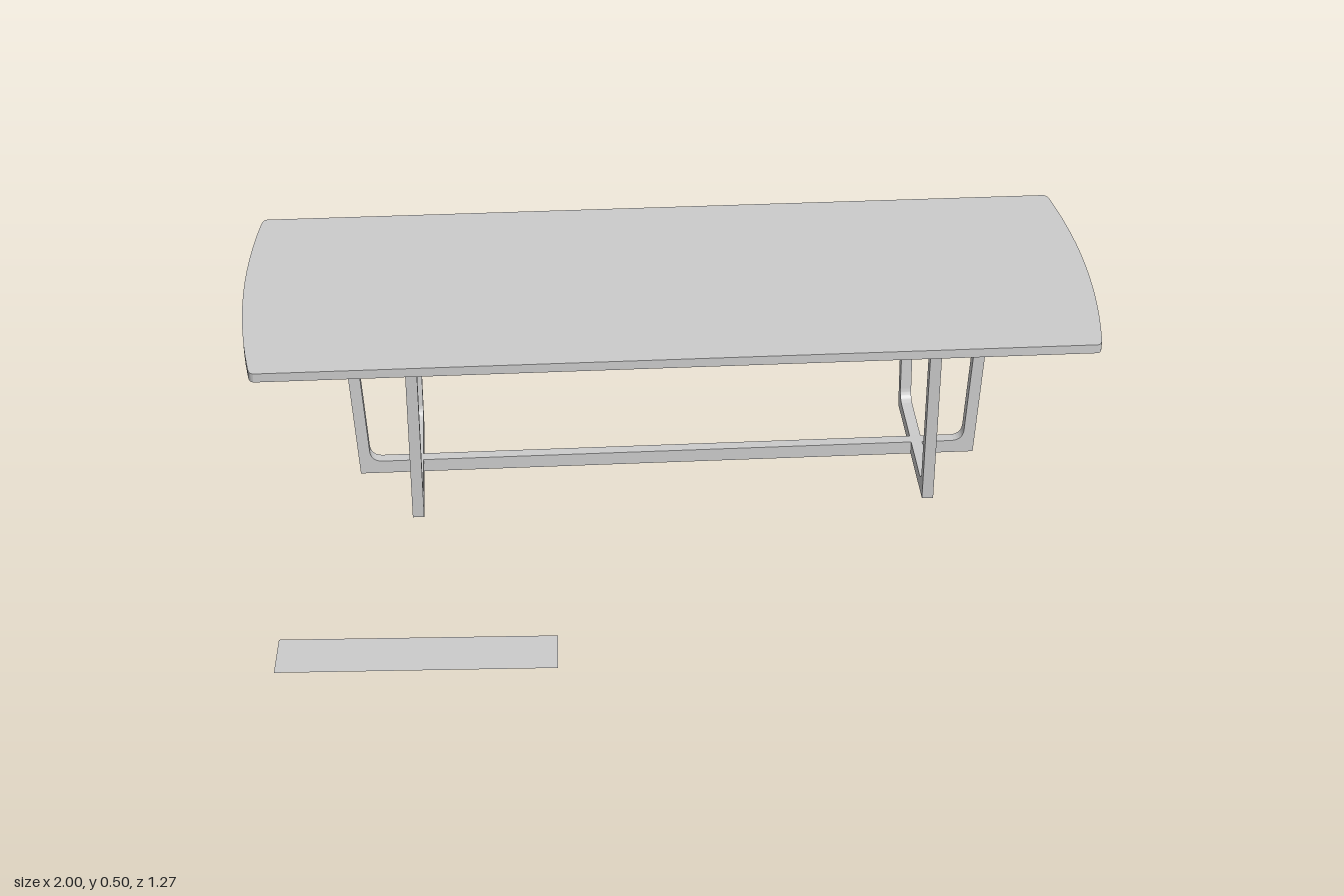
import * as THREE from 'three';
import { toCreasedNormals } from 'three/addons/utils/BufferGeometryUtils.js';

const CENTER_Z = -0.263;   // the table stands off-centre, behind the floor panel
const TOP_Y = 0.478;       // underside of the tabletop
const BAR = 0.033;         // height of the floor bars
const grey = new THREE.MeshStandardMaterial({ color: 0xcccccc });

function extrude(shape, depth) {
  const geometry = new THREE.ExtrudeGeometry(shape, { depth, bevelEnabled: false, curveSegments: 12 });
  return toCreasedNormals(geometry, 0.5);
}

function addMesh(group, name, geometry, material = grey) {
  const mesh = new THREE.Mesh(geometry, material);
  mesh.name = name;
  group.add(mesh);
  return mesh;
}

// U-shaped frame: floor bar with two outward-leaning legs and filleted inner corners
function frameGeometry(bottom, top, leg, thickness) {
  const fillet = 0.03;
  const inBottom = bottom - leg;
  const inTop = top - leg;
  const inX = (y) => inBottom + (inTop - inBottom) * y / TOP_Y;
  const s = new THREE.Shape();
  s.moveTo(-bottom, 0);
  s.lineTo(bottom, 0);
  s.lineTo(top, TOP_Y);
  s.lineTo(inTop, TOP_Y);
  s.lineTo(inX(BAR + fillet), BAR + fillet);
  s.quadraticCurveTo(inX(BAR), BAR, inX(BAR) - fillet, BAR);
  s.lineTo(-inX(BAR) + fillet, BAR);
  s.quadraticCurveTo(-inX(BAR), BAR, -inX(BAR + fillet), BAR + fillet);
  s.lineTo(-inTop, TOP_Y);
  s.lineTo(-top, TOP_Y);
  s.closePath();
  return extrude(s, thickness).translate(0, 0, -thickness / 2);
}

// Slab with straight long sides, bowed ends and small rounded corners
function tabletopGeometry() {
  const h = 0.374, x = 0.973, e = 0.352, c = 0.958;
  const s = new THREE.Shape();
  s.moveTo(-c, -h);
  s.lineTo(c, -h);
  s.quadraticCurveTo(0.969, -h, x, -e);
  s.quadraticCurveTo(1.027, 0, x, e);
  s.quadraticCurveTo(0.969, h, c, h);
  s.lineTo(-c, h);
  s.quadraticCurveTo(-0.969, h, -x, e);
  s.quadraticCurveTo(-1.027, 0, -x, -e);
  s.quadraticCurveTo(-0.969, -h, -c, -h);
  return extrude(s, 0.022).rotateX(-Math.PI / 2);
}

export function createModel() {
  const model = new THREE.Group();
  model.name = 'diningTable';

  addMesh(model, 'tabletop', tabletopGeometry()).position.set(0, TOP_Y, CENTER_Z);

  // Long frame running the length of the table
  addMesh(model, 'longFrame', frameGeometry(0.75, 0.78, 0.028, 0.029)).position.z = CENTER_Z;

  // Cross frames, one near each end
  for (const [name, side] of [['leftCrossFrame', 1], ['rightCrossFrame', -1]]) {
    const frame = addMesh(model, name, frameGeometry(0.219, 0.249, 0.028, 0.027));
    frame.rotation.y = Math.PI / 2;
    frame.position.set(side * 0.61, 0, CENTER_Z);
  }

  // Loose thin panel lying in front of the table, slightly skewed
  const panel = new THREE.Shape([
    new THREE.Vector2(-0.924, -0.607),
    new THREE.Vector2(-0.302, -0.631),
    new THREE.Vector2(-0.298, -0.508),
    new THREE.Vector2(-0.918, -0.482),
  ]);
  const thin = new THREE.MeshStandardMaterial({ color: 0xcccccc, side: THREE.DoubleSide });
  const panelGeometry = new THREE.ShapeGeometry(panel).rotateX(-Math.PI / 2);
  addMesh(model, 'floorPanel', panelGeometry, thin).position.y = 0.03;

  return model;
}
